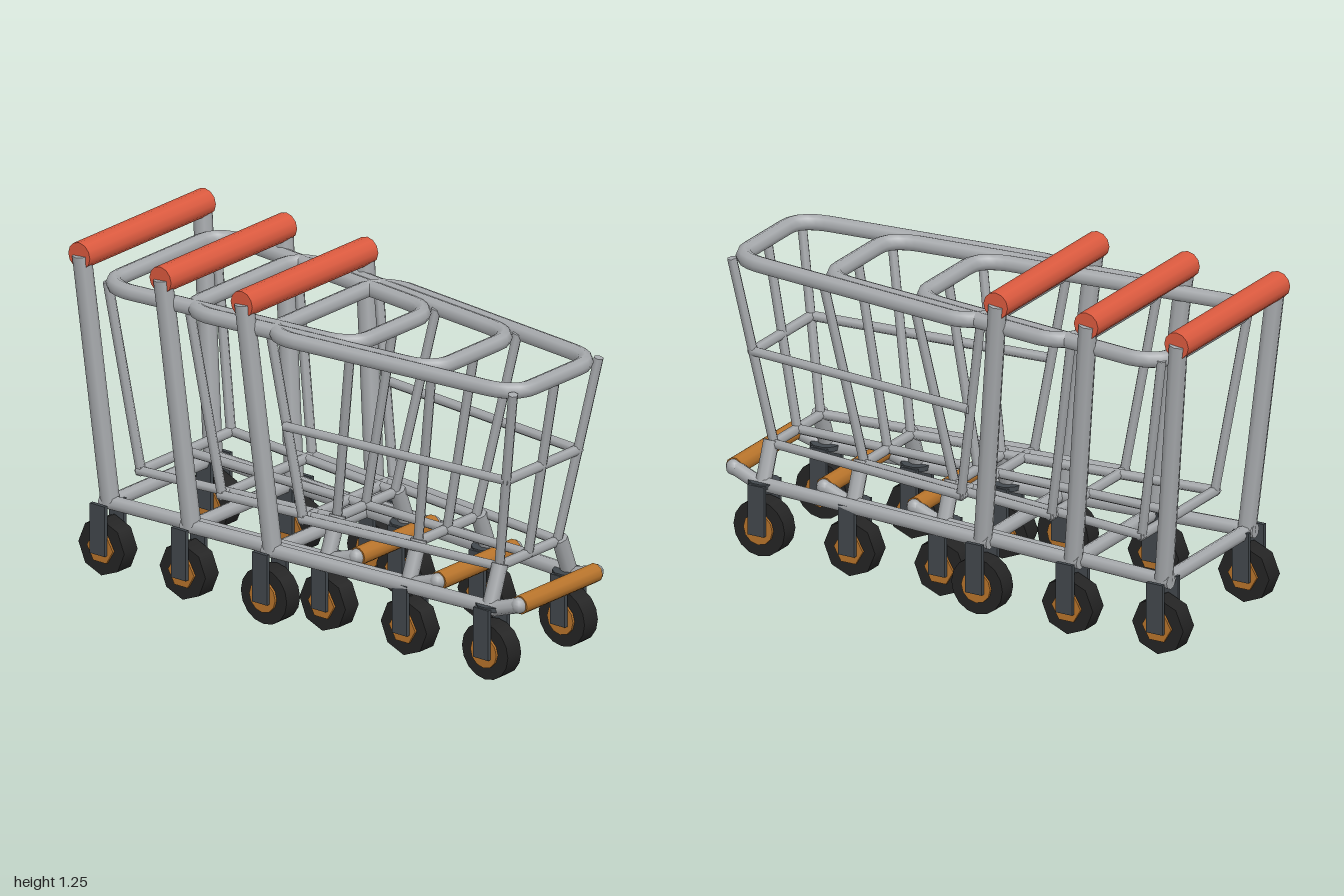
import * as THREE from 'three';

const mat = (name, color) => {
  const m = new THREE.MeshStandardMaterial({ color });
  m.name = name;
  return m;
};
const steel = mat('steel', 0xa6a9ac);
const red = mat('handle red', 0xdb5a3f);
const orange = mat('orange plastic', 0xb8742b);
const dark = mat('fork grey', 0x42484d);
const rubber = mat('rubber', 0x242424);

const V = (x, y, z) => new THREE.Vector3(x, y, z);
const UP = V(0, 1, 0);

function add(parent, name, geometry, material) {
  const mesh = new THREE.Mesh(geometry, material);
  mesh.name = name;
  parent.add(mesh);
  return mesh;
}

// Straight round bar between two points
function bar(parent, name, a, b, r, material = steel, sides = 8) {
  const d = b.clone().sub(a);
  const m = add(parent, name, new THREE.CylinderGeometry(r, r, d.length(), sides), material);
  m.position.copy(a).add(b).multiplyScalar(0.5);
  m.quaternion.setFromUnitVectors(UP, d.normalize());
  return m;
}

function ball(parent, name, p, r, material = steel) {
  add(parent, name, new THREE.SphereGeometry(r, 10, 8), material).position.copy(p);
}

// Closed basket rim: wider at the back, rounded at all four corners
function rimGeometry() {
  const y = 1.105;
  const path = new THREE.CurvePath();
  const P = (x, z) => V(x, y, z);
  const line = (a, b) => path.add(new THREE.LineCurve3(a, b));
  const bend = (a, c, b) => path.add(new THREE.QuadraticBezierCurve3(a, c, b));
  line(P(0.322, 0), P(0.235, 0.83));
  bend(P(0.235, 0.83), P(0.222, 0.955), P(0.13, 0.955));
  line(P(0.13, 0.955), P(-0.13, 0.955));
  bend(P(-0.13, 0.955), P(-0.222, 0.955), P(-0.235, 0.83));
  line(P(-0.235, 0.83), P(-0.322, 0));
  bend(P(-0.322, 0), P(-0.315, -0.118), P(-0.22, -0.118));
  line(P(-0.22, -0.118), P(0.22, -0.118));
  bend(P(0.22, -0.118), P(0.315, -0.118), P(0.322, 0));
  return new THREE.TubeGeometry(path, 90, 0.031, 8, true);
}

// Caster: tyre, hub and two fork plates
function caster(parent, name, x, z, sides, swivel) {
  const g = new THREE.Group();
  g.name = name;
  g.position.set(x, 0.106, z);
  parent.add(g);
  const disc = (n, r, w, m, s) => {
    add(g, n, new THREE.CylinderGeometry(r, r, w, s), m).rotation.z = Math.PI / 2;
  };
  disc('tyre', 0.106, 0.074, rubber, sides);
  disc('hub', 0.06, 0.092, orange, sides === 8 ? 6 : 12);
  for (const s of [-1, 1]) {
    add(g, 'forkPlate', new THREE.BoxGeometry(0.016, 0.19, 0.068), dark).position.set(s * 0.053, 0.074, 0);
  }
  if (swivel) {
    add(g, 'swivelPlate', new THREE.CylinderGeometry(0.058, 0.058, 0.018, 10), dark).position.y = 0.166;
  }
}

function cart(detailed) {
  const g = new THREE.Group();
  const sides = detailed ? 16 : 8;
  const wire = 0.019;
  const thin = (name, a, b) => bar(g, name, a, b, wire, steel, 6);

  // Handle and bumper
  bar(g, 'handle', V(-0.35, 1.2, -0.203), V(0.35, 1.2, -0.203), 0.05, red, 12);
  bar(g, 'bumper', V(-0.21, 0.302, 0.965), V(0.21, 0.302, 0.965), 0.035, orange, 10);
  // Basket rim
  add(g, 'basketRim', rimGeometry(), steel);
  // Rear base bar
  bar(g, 'rearBaseBar', V(-0.29, 0.265, -0.115), V(0.29, 0.265, -0.115), 0.027);

  for (const s of [-1, 1]) {
    // Chassis
    bar(g, 'rearPost', V(s * 0.285, 0.262, -0.112), V(s * 0.335, 1.2, -0.203), 0.035);
    bar(g, 'baseRail', V(s * 0.29, 0.267, -0.145), V(s * 0.222, 0.267, 0.86), 0.028);
    bar(g, 'bumperArm', V(s * 0.222, 0.267, 0.86), V(s * 0.21, 0.302, 0.965), 0.028);
    ball(g, 'railJoint', V(s * 0.222, 0.267, 0.86), 0.028);
    ball(g, 'bumperJoint', V(s * 0.212, 0.302, 0.965), 0.03);
    bar(g, 'basketSupport', V(s * 0.222, 0.267, 0.838), V(s * 0.165, 0.415, 0.838), 0.03);
    caster(g, 'rearCaster', s * 0.295, -0.115, sides, false);
    caster(g, 'frontCaster', s * 0.213, 0.838, sides, true);
    // Basket sides
    thin('frontCornerBar', V(s * 0.16, 0.4, 0.83), V(s * 0.238, 1.11, 0.958));
    thin('rearCornerBar', V(s * 0.25, 0.4, 0), V(s * 0.3, 1.11, -0.112));
    thin('floorSideBar', V(s * 0.165, 0.404, 0.835), V(s * 0.255, 0.404, -0.01));
    if (detailed) thin('middleSideBar', V(s * 0.2, 0.755, 0.893), V(s * 0.288, 0.755, -0.056));
  }
  // Basket floor and front
  thin('floorFrontBar', V(-0.165, 0.404, 0.83), V(0.165, 0.404, 0.83));
  thin('floorRearBar', V(-0.265, 0.404, 0), V(0.265, 0.404, 0));
  thin('floorCentreBar', V(0, 0.404, 0), V(0, 0.404, 0.83));
  thin('frontCentreBar', V(0, 0.4, 0.83), V(0, 1.1, 0.955));
  if (detailed) thin('middleFrontBar', V(-0.21, 0.755, 0.893), V(0.21, 0.755, 0.893));
  return g;
}

export function createModel() {
  const model = new THREE.Group();
  model.name = 'nestedCarts';
  // Three carts pushed into one another
  ['frontCart', 'middleCart', 'rearCart'].forEach((name, i) => {
    const c = cart(i === 0);
    c.name = name;
    c.position.z = -0.375 * i;
    model.add(c);
  });
  return model;
}
